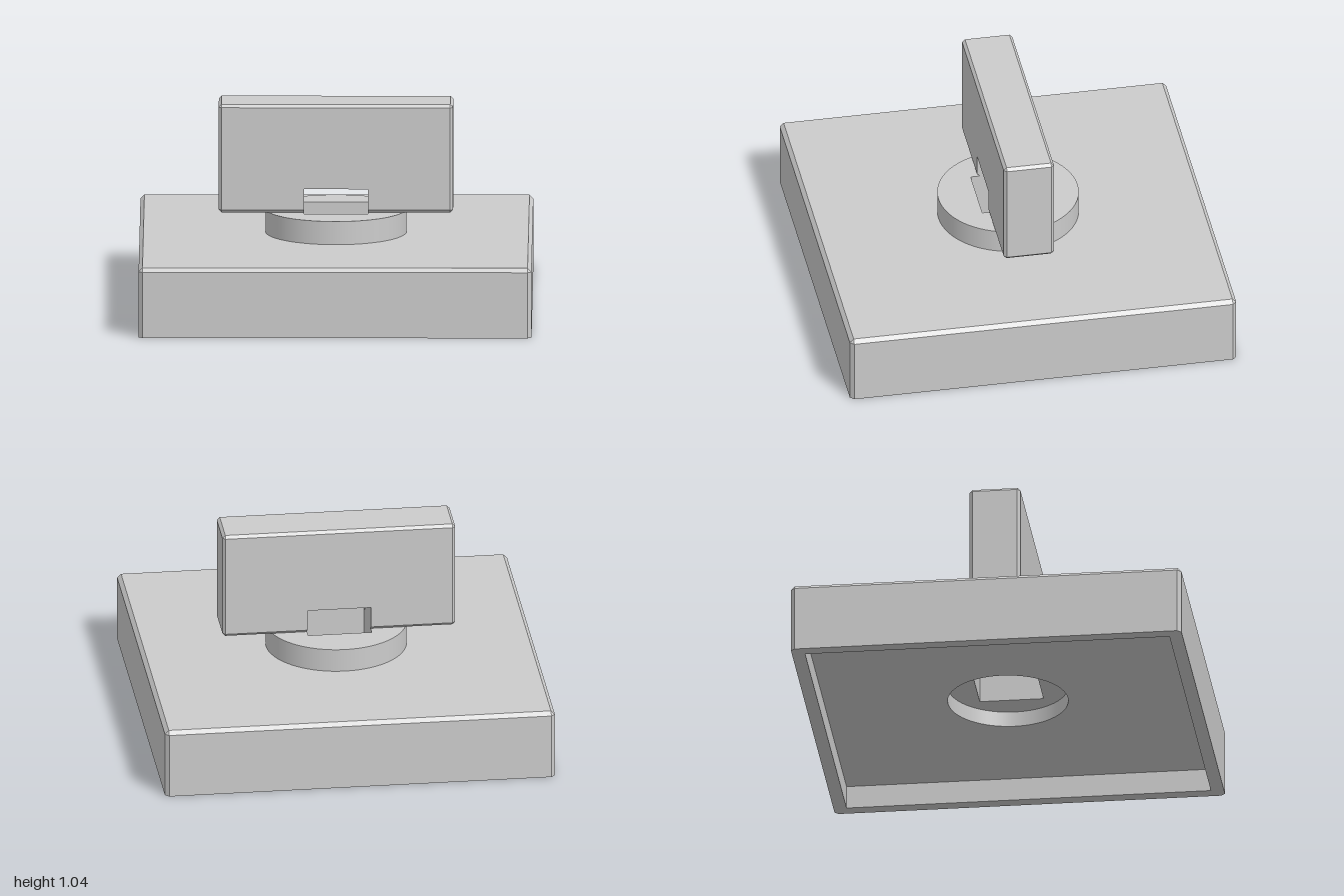
import * as THREE from 'three';

const material = new THREE.MeshStandardMaterial({ color: 0xcccccc });
const inside = new THREE.MeshStandardMaterial({ color: 0xcccccc, side: THREE.BackSide });

// Rectangle with cut corners, counter-clockwise (c = 0 gives a plain rectangle)
function cutRect(w, h, c) {
  return [[w, c - h], [w, h - c], [w - c, h], [c - w, h], [-w, h - c], [-w, c - h], [c - w, -h], [w - c, -h]];
}

// Skin a row of equal-length loops with flat faces, with optional convex end caps
function loft(loops, capped) {
  const pos = [];
  const tri = (...pts) => pts.forEach((p) => pos.push(...p));
  const n = loops[0].length;
  for (let i = 0; i < loops.length - 1; i++) {
    for (let j = 0; j < n; j++) {
      const k = (j + 1) % n;
      const a = loops[i][j], b = loops[i][k], c = loops[i + 1][k], d = loops[i + 1][j];
      tri(a, d, b);
      tri(b, d, c);
    }
  }
  if (capped) {
    const last = loops[loops.length - 1];
    for (let j = 1; j < n - 1; j++) {
      tri(loops[0][0], loops[0][j], loops[0][j + 1]);
      tri(last[0], last[j + 1], last[j]);
    }
  }
  const g = new THREE.BufferGeometry();
  g.setAttribute('position', new THREE.Float32BufferAttribute(pos, 3));
  g.computeVertexNormals();
  return g;
}

const square = (s) => new THREE.Shape([[s, -s], [s, s], [-s, s], [-s, -s]].map((p) => new THREE.Vector2(...p)));
const circle = (r) => new THREE.Shape().absarc(0, 0, r, 0, Math.PI * 2);

// Horizontal sheet with a hole, facing up (1) or down (-1)
function sheet(outline, hole, y, facing) {
  outline.holes.push(hole);
  return new THREE.ShapeGeometry(outline, 32).rotateX(-facing * Math.PI / 2).translate(0, y, 0);
}

export function createModel() {
  const model = new THREE.Group();
  const add = (parent, name, geometry, mat = material) => {
    const mesh = new THREE.Mesh(geometry, mat);
    mesh.name = name;
    parent.add(mesh);
  };
  const group = (name) => {
    const g = new THREE.Group();
    g.name = name;
    model.add(g);
    return g;
  };

  const bevel = 0.02, ceilingY = 0.12, recessY = 0.2, baseY = 0.36, bossY = 0.48;
  const cavity = 0.933, bossR = 0.36, recessR = 0.307, hole = 0.163;

  // Base: hollow underneath, bevelled on top and at the upright corners
  const base = group('base');
  const level = (s, c, y) => cutRect(s, s, c).map(([x, z]) => [x, y, z]);
  add(base, 'baseWalls', loft([
    level(cavity, 0, ceilingY), level(cavity, 0, 0),
    level(1, bevel, 0), level(1, bevel, baseY - bevel), level(1 - bevel, 0, baseY),
  ]));
  add(base, 'baseTop', sheet(square(1 - bevel), circle(bossR), baseY, 1));
  add(base, 'cavityCeiling', sheet(square(cavity), circle(recessR), ceilingY, -1));

  // Round boss with a recess below and a square hole right through
  const boss = group('boss');
  const tube = (r, y0, y1) =>
    new THREE.CylinderGeometry(r, r, y1 - y0, 64, 1, true).translate(0, (y0 + y1) / 2, 0);
  add(boss, 'bossSide', tube(bossR, baseY, bossY));
  add(boss, 'bossTop', sheet(circle(bossR), square(hole), bossY, 1));
  add(boss, 'recessWall', tube(recessR, ceilingY, recessY), inside);
  add(boss, 'recessCeiling', sheet(circle(recessR), square(hole), recessY, -1));
  add(boss, 'squareHole', loft([level(hole, 0, bossY), level(hole, 0, recessY)]));

  // Upright handle, bevelled all round, with a notch through its lower edge
  const halfX = 0.597, halfZ = 0.13, halfY = 0.28, b = 0.015, notchY = 0.603;
  const slice = (x, inset, c, notched) => cutRect(halfZ - inset, halfY - inset, c).map(([z, y], i) =>
    notched && (i === 0 || i > 4) ? [x, notchY, Math.sign(z) * halfZ] : [x, y + bossY + halfY, z]);
  add(model, 'handle', loft([
    slice(-halfX, b, 0), slice(b - halfX, 0, b),
    slice(-hole, 0, b), slice(-hole, 0, b, true),
    slice(hole, 0, b, true), slice(hole, 0, b),
    slice(halfX - b, 0, b), slice(halfX, b, 0),
  ], true));

  return model;
}
